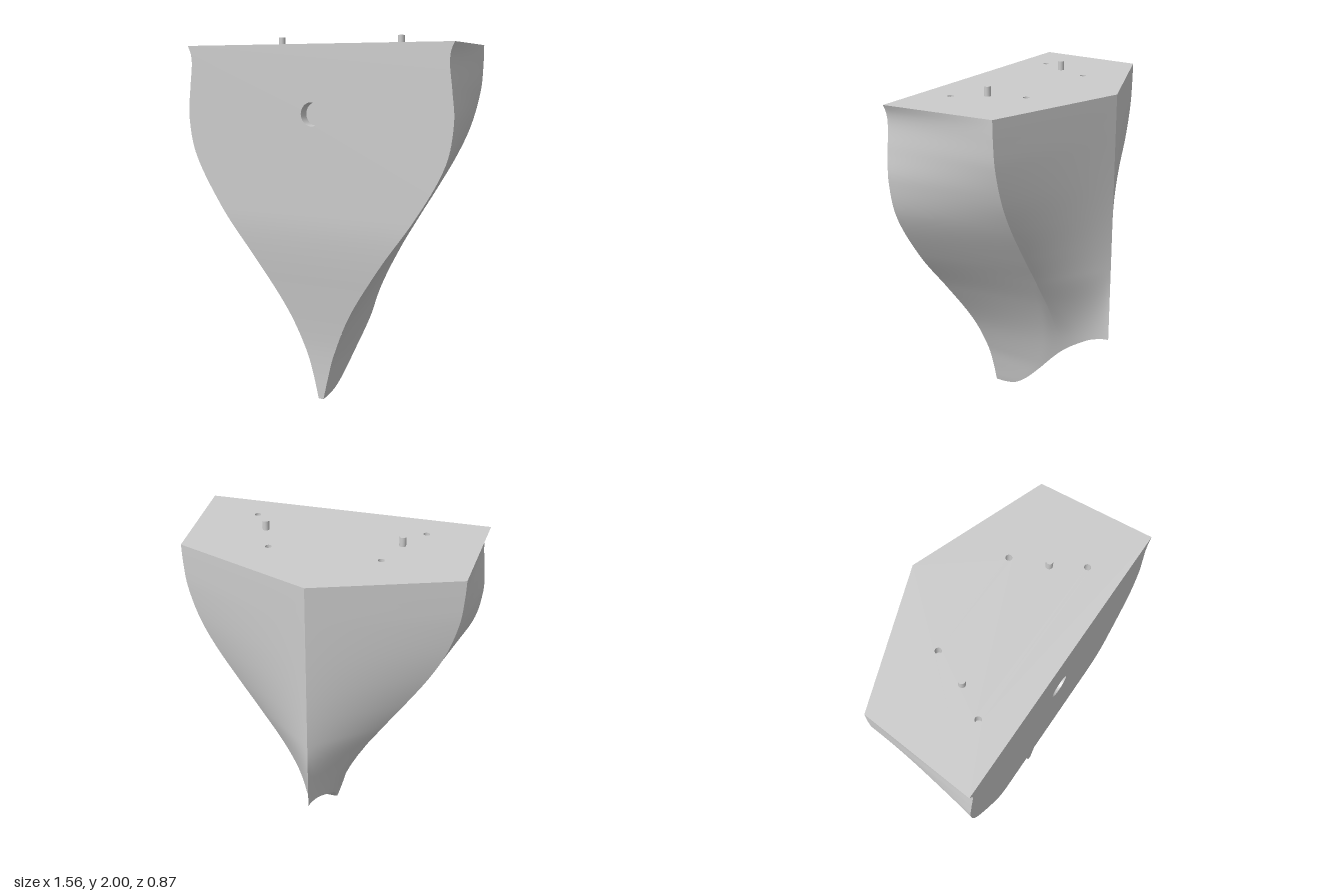
import * as THREE from 'three';

const TOP = 1.95, FRONT_Z = 0.435, CORNER_Z = -0.172, TIP_Z = -0.435, FLAT_Y = 1.05;

// Smooth curve through [input, output] pairs
function curve(pts) {
  const n = pts.length - 1;
  const slope = (i) => {
    const a = pts[Math.max(i - 1, 0)], b = pts[Math.min(i + 1, n)];
    return (b[1] - a[1]) / (b[0] - a[0]);
  };
  return (x) => {
    let i = 0;
    while (i < n - 1 && x > pts[i + 1][0]) i++;
    const [x0, y0] = pts[i], [x1, y1] = pts[i + 1], h = x1 - x0;
    const t = THREE.MathUtils.clamp((x - x0) / h, 0, 1), t2 = t * t, t3 = t2 * t;
    return y0 * (2 * t3 - 3 * t2 + 1) + y1 * (3 * t2 - 2 * t3)
      + h * (slope(i) * (t3 - 2 * t2 + t) + slope(i + 1) * (t3 - t2));
  };
}

// Half width of the front edge and of the rear corner, by height
const frontWidth = curve([[0, 0.015], [0.13, 0.045], [0.27, 0.085], [0.51, 0.192], [0.8, 0.382],
  [1.08, 0.587], [1.35, 0.74], [1.56, 0.781], [1.72, 0.769], [1.85, 0.754], [1.91, 0.76], [1.95, 0.778]]);
const cornerWidth = curve([[0, 0.012], [0.2, 0.045], [0.43, 0.105], [0.6, 0.165], [0.78, 0.25],
  [0.97, 0.36], [1.15, 0.472], [1.35, 0.59], [1.52, 0.668], [1.71, 0.718], [1.85, 0.729], [1.95, 0.73]]);
const frontDepth = curve([[0, 0.345], [0.16, 0.347], [0.33, 0.357], [0.6, 0.39], [0.8, 0.417],
  [0.94, 0.431], [1.05, 0.435], [1.95, 0.435]]);
// Height of the underside, by depth
const underside = curve([[-0.435, 0.518], [-0.38, 0.514], [-0.31, 0.495], [-0.18, 0.412], [0, 0.212],
  [0.1, 0.105], [0.19, 0.032], [0.27, 0.005], [0.345, 0]]);

// Half width anywhere: side line and rear line, blended softly low down
function halfWidth(y, z) {
  const low = THREE.MathUtils.smoothstep(0.97 - y, 0, 0.45);
  const zf = frontDepth(y), wc = cornerWidth(y);
  const side = THREE.MathUtils.lerp(frontWidth(y), wc, (zf - z) / (zf - CORNER_Z));
  const t = Math.max(0, (z - TIP_Z) / (CORNER_Z - TIP_Z));
  const rear = wc * Math.pow(t, 1 + 0.5 * low);
  const k = 0.06 * low + 1e-5;
  const h = Math.max(k - Math.abs(side - rear), 0) / k;
  return Math.max(0, Math.min(side, rear) - h * h * k / 4);
}

// Surface patch from a rule f(u, v) -> [x, y, z]
function patch(nu, nv, f, flip) {
  const pos = [], idx = [];
  for (let j = 0; j <= nv; j++) for (let i = 0; i <= nu; i++) pos.push(...f(i / nu, j / nv));
  for (let j = 0; j < nv; j++) {
    for (let i = 0; i < nu; i++) {
      const a = j * (nu + 1) + i, b = a + 1, d = a + nu + 1, c = d + 1;
      if (flip) idx.push(a, d, b, b, d, c);
      else idx.push(a, b, d, b, c, d);
    }
  }
  const g = new THREE.BufferGeometry();
  g.setAttribute('position', new THREE.Float32BufferAttribute(pos, 3));
  g.setIndex(idx);
  g.computeVertexNormals();
  return g;
}

function circleHole(x, y, r) {
  return new THREE.Path().absarc(x, y, r, 0, Math.PI * 2, true);
}

export function createModel() {
  const group = new THREE.Group();
  const mat = new THREE.MeshStandardMaterial({ color: 0xcccccc });
  const inner = new THREE.MeshStandardMaterial({ color: 0xcccccc, side: THREE.DoubleSide });
  const add = (name, geo, m = mat) => {
    const mesh = new THREE.Mesh(geo, m);
    mesh.name = name;
    group.add(mesh);
    return mesh;
  };

  // Side walls and rear faces, mirrored
  for (const s of [1, -1]) {
    const label = s > 0 ? 'left' : 'right';
    add(label + 'Side', patch(24, 80, (u, v) => {
      const yb = underside(THREE.MathUtils.lerp(0.345, CORNER_Z, u));
      const y = THREE.MathUtils.lerp(yb, TOP, v);
      const z = THREE.MathUtils.lerp(frontDepth(y), CORNER_Z, u);
      return [s * halfWidth(y, z), y, z];
    }, s < 0));
    add(label + 'Rear', patch(24, 80, (u, v) => {
      const z = THREE.MathUtils.lerp(CORNER_Z, TIP_Z, u);
      const y = THREE.MathUtils.lerp(underside(z), TOP, v);
      return [s * halfWidth(y, z), y, z];
    }, s < 0));
  }

  // Curved lower front
  add('lowerFront', patch(8, 50, (u, v) => {
    const y = v * FLAT_Y;
    return [(2 * u - 1) * frontWidth(y), y, frontDepth(y)];
  }));

  // Narrow underside
  add('underside', patch(6, 60, (u, v) => {
    const z = THREE.MathUtils.lerp(0.345, TIP_Z, v), y = underside(z);
    return [(2 * u - 1) * halfWidth(y, z), y, z];
  }, true));

  // Flat upper front with a shallow round recess
  const outline = [];
  for (let i = 0; i <= 40; i++) {
    const y = THREE.MathUtils.lerp(FLAT_Y, TOP, i / 40);
    outline.push(new THREE.Vector2(frontWidth(y), y));
  }
  const mirrored = outline.map((p) => new THREE.Vector2(-p.x, p.y)).reverse();
  const face = new THREE.Shape([...outline, ...mirrored]);
  face.holes.push(circleHole(0, 1.59, 0.0625));
  add('upperFront', new THREE.ShapeGeometry(face, 24)).position.z = FRONT_Z;
  const wall = add('recessWall', new THREE.CylinderGeometry(0.0625, 0.0625, 0.06, 48, 1, true), inner);
  wall.rotation.x = Math.PI / 2;
  wall.position.set(0, 1.59, FRONT_Z - 0.03);
  add('recessFloor', new THREE.CircleGeometry(0.0625, 48)).position.set(0, 1.59, FRONT_Z - 0.06);

  // Five-sided top with four small holes (shape y is -z)
  const lid = new THREE.Shape([[-0.778, -FRONT_Z], [0.778, -FRONT_Z], [0.73, -CORNER_Z], [0, -TIP_Z],
    [-0.73, -CORNER_Z]].map(([x, y]) => new THREE.Vector2(x, y)));
  for (const s of [1, -1]) {
    for (const [x, z] of [[0.293, -0.076], [0.463, 0.265]]) {
      lid.holes.push(circleHole(s * x, -z, 0.017));
      add('holeWall', new THREE.CylinderGeometry(0.017, 0.017, 0.06, 24, 1, true), inner)
        .position.set(s * x, TOP - 0.03, z);
      const floor = add('holeFloor', new THREE.CircleGeometry(0.017, 24));
      floor.rotation.x = -Math.PI / 2;
      floor.position.set(s * x, TOP - 0.06, z);
    }
    // Locating pin
    add('pin', new THREE.CylinderGeometry(0.018, 0.018, 0.05, 24)).position.set(s * 0.365, TOP + 0.025, 0.108);
  }
  const top = add('top', new THREE.ShapeGeometry(lid, 12));
  top.rotation.x = -Math.PI / 2;
  top.position.y = TOP;

  return group;
}
